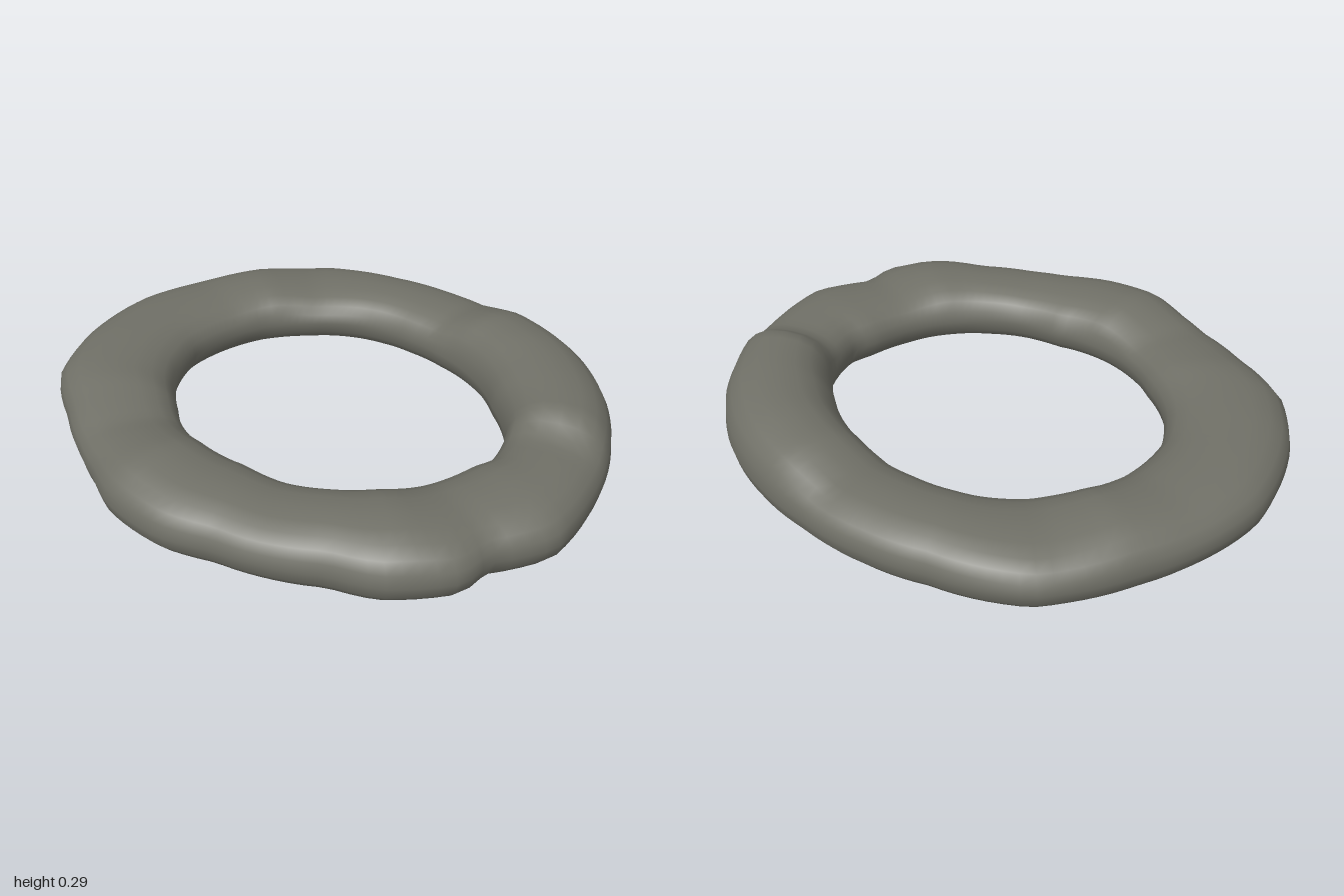
import * as THREE from 'three';

// Plan outlines as [x, z] points around the ring
const OUTER = [
  [0.87, 0], [0.84, 0.24], [0.78, 0.45], [0.645, 0.69], [0.5, 0.83], [0.34, 0.92], [0.13, 0.985],
  [0, 1], [-0.23, 0.995], [-0.4, 0.86], [-0.52, 0.845], [-0.68, 0.66], [-0.725, 0.5], [-0.8, 0.32],
  [-0.835, 0.15], [-0.88, -0.02], [-0.85, -0.26], [-0.78, -0.39], [-0.71, -0.52], [-0.59, -0.7],
  [-0.455, -0.88], [-0.25, -0.975], [0.12, -1], [0.37, -0.9], [0.53, -0.79], [0.7, -0.64],
  [0.775, -0.55], [0.85, -0.23],
];
const INNER = [
  [0.53, 0], [0.51, 0.14], [0.45, 0.31], [0.32, 0.475], [0.165, 0.61], [-0.025, 0.645],
  [-0.105, 0.6], [-0.265, 0.52], [-0.385, 0.4], [-0.48, 0.21], [-0.49, 0.03], [-0.465, -0.23],
  [-0.34, -0.41], [-0.185, -0.545], [-0.015, -0.6], [0.13, -0.58], [0.29, -0.51], [0.41, -0.38],
  [0.51, -0.21],
];
// Top height as [degrees, y], turning from +x towards +z
const TOP = [
  [0, 0.225], [12, 0.225], [25, 0.275], [40, 0.287], [60, 0.287], [75, 0.285], [82, 0.225],
  [100, 0.23], [115, 0.215], [130, 0.242], [160, 0.22], [180, 0.235], [196, 0.252], [215, 0.21],
  [235, 0.237], [255, 0.235], [270, 0.23], [290, 0.22], [305, 0.235], [320, 0.21], [345, 0.225],
];

const polar = ([x, z]) => [(THREE.MathUtils.radToDeg(Math.atan2(z, x)) + 360) % 360, Math.hypot(x, z)];

// Linear lookup in a table that wraps at 360 degrees
function sample(table, deg) {
  for (let i = 0; i < table.length; i++) {
    const [a0, v0] = table[i];
    const last = i === table.length - 1;
    const a1 = last ? 360 : table[i + 1][0];
    const v1 = last ? table[0][1] : table[i + 1][1];
    if (deg >= a0 && deg <= a1) return THREE.MathUtils.lerp(v0, v1, (deg - a0) / (a1 - a0));
  }
  return table[0][1];
}

// Rounded cross-sections lofted around the closed ring
function ringGeometry(around = 120, sides = 20) {
  const outer = OUTER.map(polar);
  const inner = INNER.map(polar);
  const round = (v) => Math.sign(v) * Math.abs(v) ** 0.88;
  const middle = 0.115;
  const positions = [];
  const indices = [];
  for (let i = 0; i < around; i++) {
    const deg = (i / around) * 360;
    const a = THREE.MathUtils.degToRad(deg);
    const ro = sample(outer, deg);
    const ri = sample(inner, deg);
    const top = sample(TOP, deg);
    for (let j = 0; j < sides; j++) {
      const t = (j / sides) * Math.PI * 2;
      const r = (ro + ri) / 2 + round(Math.cos(t)) * (ro - ri) / 2;
      const s = round(Math.sin(t));
      const y = middle + s * (s > 0 ? top - middle : middle);
      positions.push(r * Math.cos(a), y, r * Math.sin(a));
      const i2 = (i + 1) % around;
      const j2 = (j + 1) % sides;
      const p = i * sides + j;
      const up = i * sides + j2;
      const next = i2 * sides + j;
      const nextUp = i2 * sides + j2;
      indices.push(p, up, next, up, nextUp, next);
    }
  }
  const geometry = new THREE.BufferGeometry();
  geometry.setAttribute('position', new THREE.Float32BufferAttribute(positions, 3));
  geometry.setIndex(indices);
  geometry.computeVertexNormals();
  return geometry;
}

export function createModel() {
  const group = new THREE.Group();
  group.name = 'stoneRing';
  const stone = new THREE.MeshStandardMaterial({ color: 0x707067 });
  stone.name = 'greyStone';
  const ring = new THREE.Mesh(ringGeometry(), stone);
  ring.name = 'ring';
  group.add(ring);
  return group;
}
